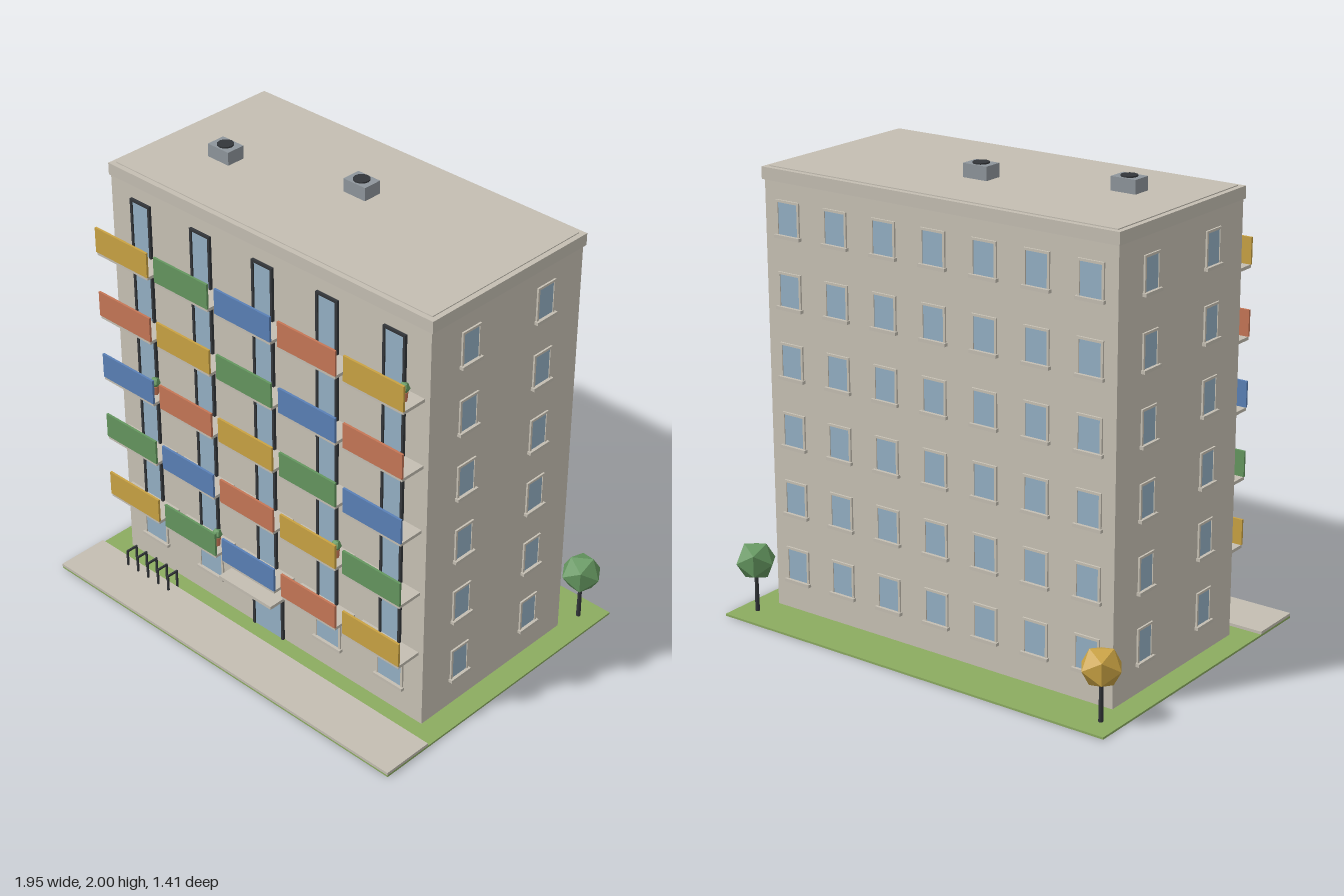
import * as THREE from 'three';

const mat = (name, color) => Object.assign(new THREE.MeshStandardMaterial({ color }), { name });

export function createModel() {
  const M = {
    wall: mat('wall', 0xc8c2b5), concrete: mat('concrete', 0xc4beb2),
    glass: mat('glass', 0x94b0c4), dark: mat('darkMetal', 0x33363a),
    vent: mat('ventGrey', 0x8e959b), lawn: mat('lawn', 0x8bab60),
    yellow: mat('yellow', 0xc9a243), green: mat('green', 0x64965f),
    blue: mat('blue', 0x5a80b6), red: mat('red', 0xc57656),
  };
  const model = new THREE.Group();
  model.name = 'apartmentBlock';

  const group = (name, parent = model) => {
    const g = new THREE.Group();
    g.name = name;
    parent.add(g);
    return g;
  };
  const add = (parent, name, geo, material, x = 0, y = 0, z = 0) => {
    const m = new THREE.Mesh(geo, material);
    m.name = name;
    m.position.set(x, y, z);
    parent.add(m);
    return m;
  };
  // Box given by its min and max corners
  const box = (parent, name, material, x0, x1, y0, y1, z0, z1) =>
    add(parent, name, new THREE.BoxGeometry(x1 - x0, y1 - y0, z1 - z0), material,
      (x0 + x1) / 2, (y0 + y1) / 2, (z0 + z1) / 2);

  const W = 0.865, FRONT = 0.385, BACK = -0.485, FLOOR = 0.303;

  // Ground
  box(model, 'lawn', M.lawn, -0.972, 0.972, 0, 0.009, -0.705, 0.703);
  box(model, 'pavement', M.concrete, -0.972, 0.972, 0.009, 0.022, 0.465, 0.704);

  // Main body, parapet and roof
  box(model, 'walls', M.wall, -W, W, 0.009, 1.88, BACK, FRONT);
  box(model, 'parapet', M.concrete, -0.873, 0.873, 1.88, 1.932, -0.495, 0.39);
  box(model, 'roof', M.concrete, -0.85, 0.85, 1.932, 1.936, -0.472, 0.367);

  // Window facing +z in its own space, origin on the wall at the sill top
  const addWindow = (x, y, z, turn, width) => {
    const g = group('window');
    g.position.set(x, y, z);
    g.rotation.y = turn;
    const w = width / 2, h = 0.135, f = 0.01;
    box(g, 'frameTop', M.wall, -w - f, w + f, h, h + f, 0, 0.008);
    for (const s of [-1, 1])
      box(g, 'frameSide', M.wall, s * (w + f / 2) - f / 2, s * (w + f / 2) + f / 2, 0, h, 0, 0.008);
    box(g, 'pane', M.glass, -w, w, 0, h, 0, 0.004);
    box(g, 'sill', M.concrete, -w - 0.016, w + 0.016, -0.014, 0, 0, 0.018);
  };
  for (let f = 0; f < 6; f++) {
    const y = 0.145 + f * FLOOR;
    for (let i = -3; i <= 3; i++) addWindow(i * 0.248, y, BACK, Math.PI, 0.1);
    for (const s of [-1, 1])
      for (const z of [0.165, -0.268]) addWindow(s * W, y, z, s * Math.PI / 2, 0.085);
  }
  for (const i of [-2, -1, 1, 2]) addWindow(i * 0.345, 0.145, FRONT, 0, 0.125);

  // Dark-framed glass door standing on y
  const addDoor = (name, x, y, w, h) => {
    const g = group(name);
    g.position.set(x, y, FRONT);
    const f = 0.011, e = w / 2;
    box(g, 'frameTop', M.dark, -e, e, h - f, h, 0, 0.012);
    box(g, 'frameLeft', M.dark, e - f, e, 0, h - f, 0, 0.012);
    box(g, 'frameRight', M.dark, -e, -e + f, 0, h - f, 0, 0.012);
    box(g, 'pane', M.glass, -e + f, e - f, 0, h - f, 0, 0.006);
  };
  addDoor('entranceDoor', 0, 0.009, 0.178, 0.263);
  box(model, 'entranceCanopy', M.concrete, -0.152, 0.152, 0.285, 0.3, FRONT, 0.528);

  // Balconies with coloured fronts, in diagonal colour bands
  const bands = [M.yellow, M.green, M.blue, M.red];
  const potColumns = [1, 3, 0, -1, 4];
  for (let r = 0; r < 5; r++) {
    for (let c = 0; c < 5; c++) {
      const x = (c - 2) * 0.345, y = 0.355 + r * FLOOR;
      const g = group('balcony');
      box(g, 'slab', M.concrete, x - 0.15, x + 0.15, y, y + 0.014, FRONT, 0.504);
      box(g, 'railPanel', bands[(r + c) % 4], x - 0.152, x + 0.152, y + 0.014, y + 0.127, 0.498, 0.508);
      addDoor('balconyDoor', x, y + 0.014, 0.113, 0.24);
      if (potColumns[r] === c) {
        add(g, 'flowerPot', new THREE.CylinderGeometry(0.016, 0.013, 0.04, 8), M.red, x + 0.1, y + 0.034, 0.446);
        const plant = new THREE.IcosahedronGeometry(0.024, 0);
        add(g, 'potPlant', plant, M.green, x + 0.1, y + 0.071, 0.446);
      }
    }
  }

  // Roof vents with round fans
  for (const [x, z] of [[-0.558, 0.037], [0.036, -0.128]]) {
    const g = group('roofVent');
    box(g, 'ventBox', M.vent, x - 0.058, x + 0.058, 1.935, 1.994, z - 0.043, z + 0.043);
    add(g, 'ventFan', new THREE.CylinderGeometry(0.035, 0.035, 0.006, 12), M.dark, x, 1.997, z);
  }

  // Bicycle stands
  for (let i = 0; i < 5; i++) {
    const g = group('bikeStand'), x = -0.757 + i * 0.0645, t = 0.004;
    for (const z of [0.456, 0.508]) box(g, 'post', M.dark, x - t, x + t, 0.002, 0.1, z - t, z + t);
    box(g, 'topBar', M.dark, x - t, x + t, 0.092, 0.1, 0.46, 0.504);
  }

  // Low-poly trees
  for (const [x, leaf] of [[-0.888, M.yellow], [0.886, M.green]]) {
    const g = group('tree');
    add(g, 'trunk', new THREE.CylinderGeometry(0.008, 0.01, 0.18, 6), M.dark, x, 0.095, -0.598);
    const crown = add(g, 'crown', new THREE.IcosahedronGeometry(0.09, 0), leaf, x, 0.24, -0.598);
    crown.rotation.y = 0.6;
  }
  return model;
}
